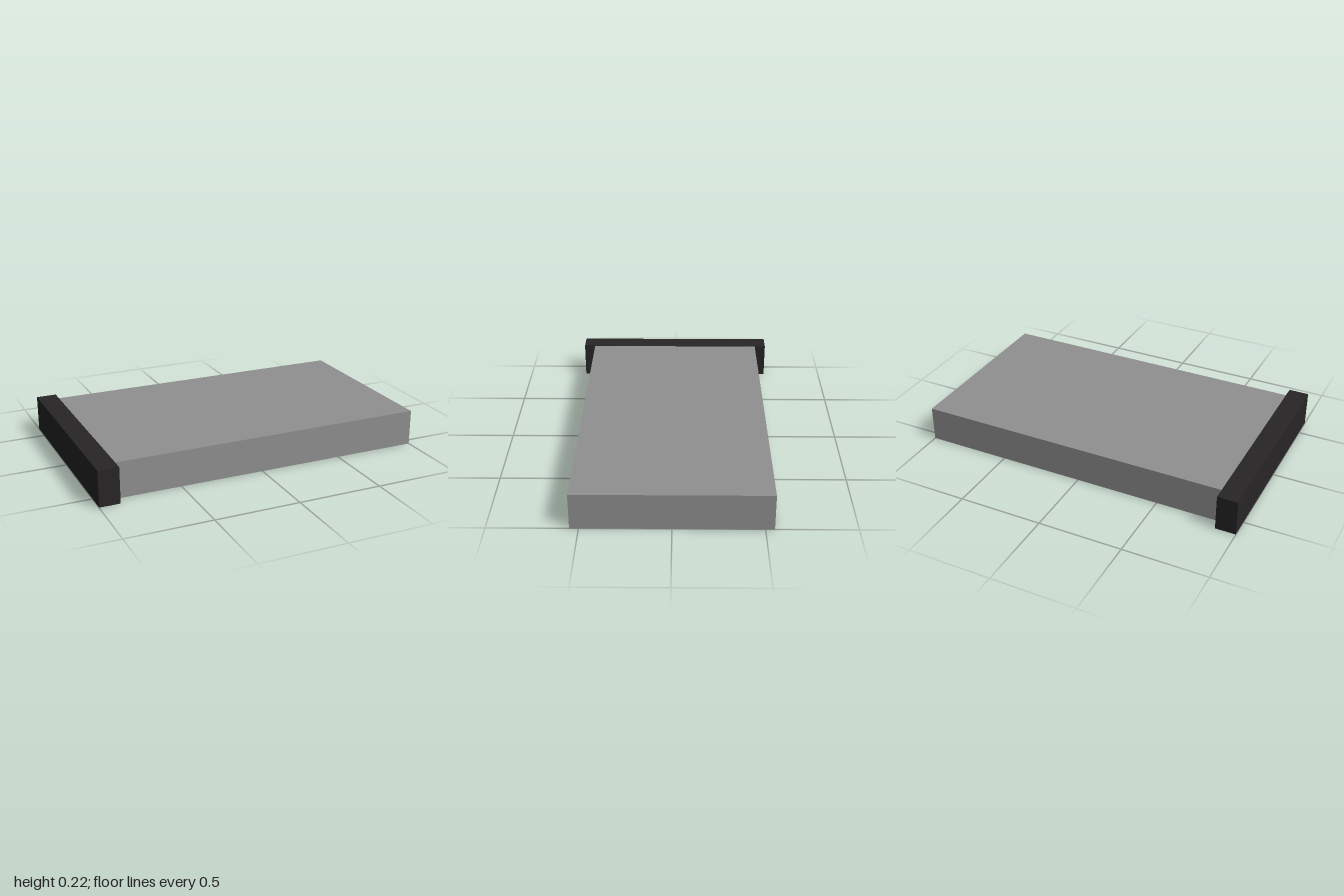
import * as THREE from 'three';

// Box given by its [min, max] extent along each axis
function slab(name, [x0, x1], [y0, y1], [z0, z1], color) {
  const geometry = new THREE.BoxGeometry(x1 - x0, y1 - y0, z1 - z0);
  geometry.translate((x0 + x1) / 2, (y0 + y1) / 2, (z0 + z1) / 2);
  const mesh = new THREE.Mesh(geometry, new THREE.MeshStandardMaterial({ color }));
  mesh.name = name;
  return mesh;
}

export function createModel() {
  const model = new THREE.Group();
  model.name = 'slabWithEndBar';

  // Main slab, running into the end bar
  model.add(slab('mainSlab', [-0.98, 1], [0, 0.213], [-0.55, 0.55], 0x909090));

  // Dark, wider bar across the right end, a hair above the slab
  model.add(slab('endBar', [-1, -0.88], [0.002, 0.215], [-0.62, 0.62], 0x272526));

  return model;
}
